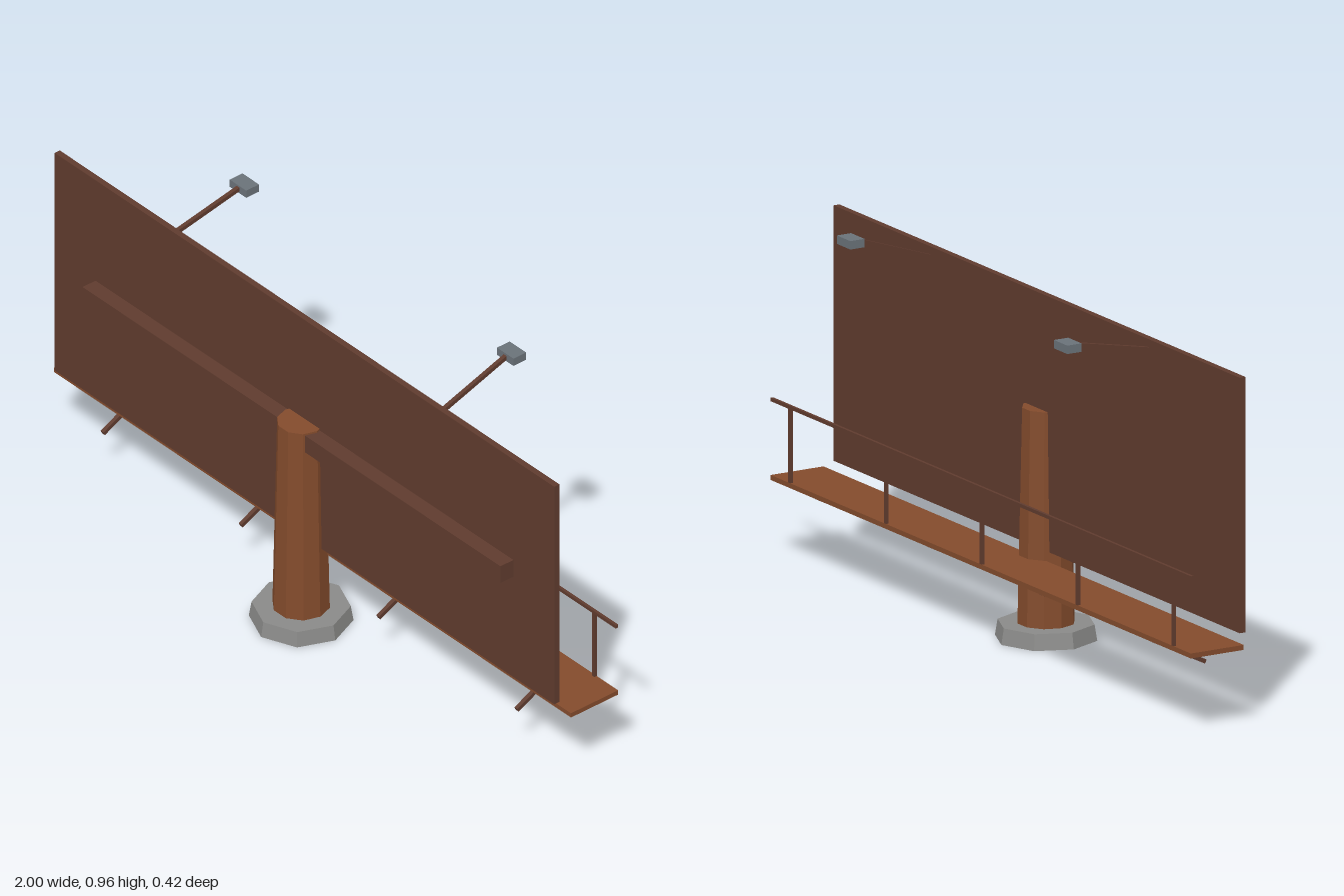
import * as THREE from 'three';

const mat = (name, color) => Object.assign(new THREE.MeshStandardMaterial({ color, flatShading: true }), { name });

export function createModel() {
  const model = new THREE.Group();
  model.name = 'billboard';
  const wood = mat('warm brown', 0x834b2c);
  const dark = mat('dark brown', 0x5f3b2e);
  const stone = mat('concrete grey', 0x8a8a88);
  const metal = mat('lamp grey', 0x6a7279);

  const add = (name, geometry, material, x, y, z) => {
    const mesh = new THREE.Mesh(geometry, material);
    mesh.name = name;
    mesh.position.set(x, y, z);
    model.add(mesh);
    return mesh;
  };
  // Box given by its lower and upper limits
  const box = (name, material, [x0, x1], [y0, y1], [z0, z1]) =>
    add(name, new THREE.BoxGeometry(x1 - x0, y1 - y0, z1 - z0), material,
      (x0 + x1) / 2, (y0 + y1) / 2, (z0 + z1) / 2);
  // Square bar sloping in the y-z plane
  const bar = (name, x, [y0, z0], [y1, z1], t) => {
    const dy = y1 - y0, dz = z1 - z0;
    const mesh = add(name, new THREE.BoxGeometry(t, t, Math.hypot(dy, dz)), dark,
      x, (y0 + y1) / 2, (z0 + z1) / 2);
    mesh.rotation.x = -Math.atan2(dy, dz);
  };

  // Footing and tapering pole
  const poleZ = 0.077;
  add('footing', new THREE.CylinderGeometry(0.125, 0.132, 0.042, 8), stone, 0, 0.021, poleZ);
  const pole = new THREE.CylinderGeometry(0.062, 0.075, 0.601, 10);
  pole.rotateY(Math.PI / 2);
  add('pole', pole, wood, 0, 0.3025, poleZ);

  // Board and the beam that carries it
  box('board', dark, [-0.966, 0.966], [0.24, 0.905], [0.049, 0.066]);
  box('supportBeam', dark, [-0.808, 0.808], [0.547, 0.598], [0.066, 0.109]);

  // Catwalk with railing and braces
  box('catwalk', wood, [-1, 1], [0.206, 0.219], [-0.116, 0.04]);
  box('handrail', dark, [-1, 1], [0.411, 0.42], [-0.116, -0.108]);
  for (let i = -2; i <= 2; i++) {
    const x = i * 0.456;
    box('railPost', dark, [x - 0.005, x + 0.005], [0.219, 0.415], [-0.116, -0.108]);
  }
  for (const x of [-0.8, -0.266, 0.266, 0.8]) bar('brace', x, [0.129, 0.049], [0.205, -0.103], 0.011);

  // Lamps on arms behind the board
  for (const [x, y] of [[-0.53, 0.921], [0.503, 0.953]]) {
    bar('lampArm', x, [0.878, 0.052], [y + 0.002, -0.175], 0.011);
    box('lamp', metal, [x - 0.032, x + 0.032], [y - 0.011, y + 0.011], [-0.209, -0.167]);
  }
  return model;
}
